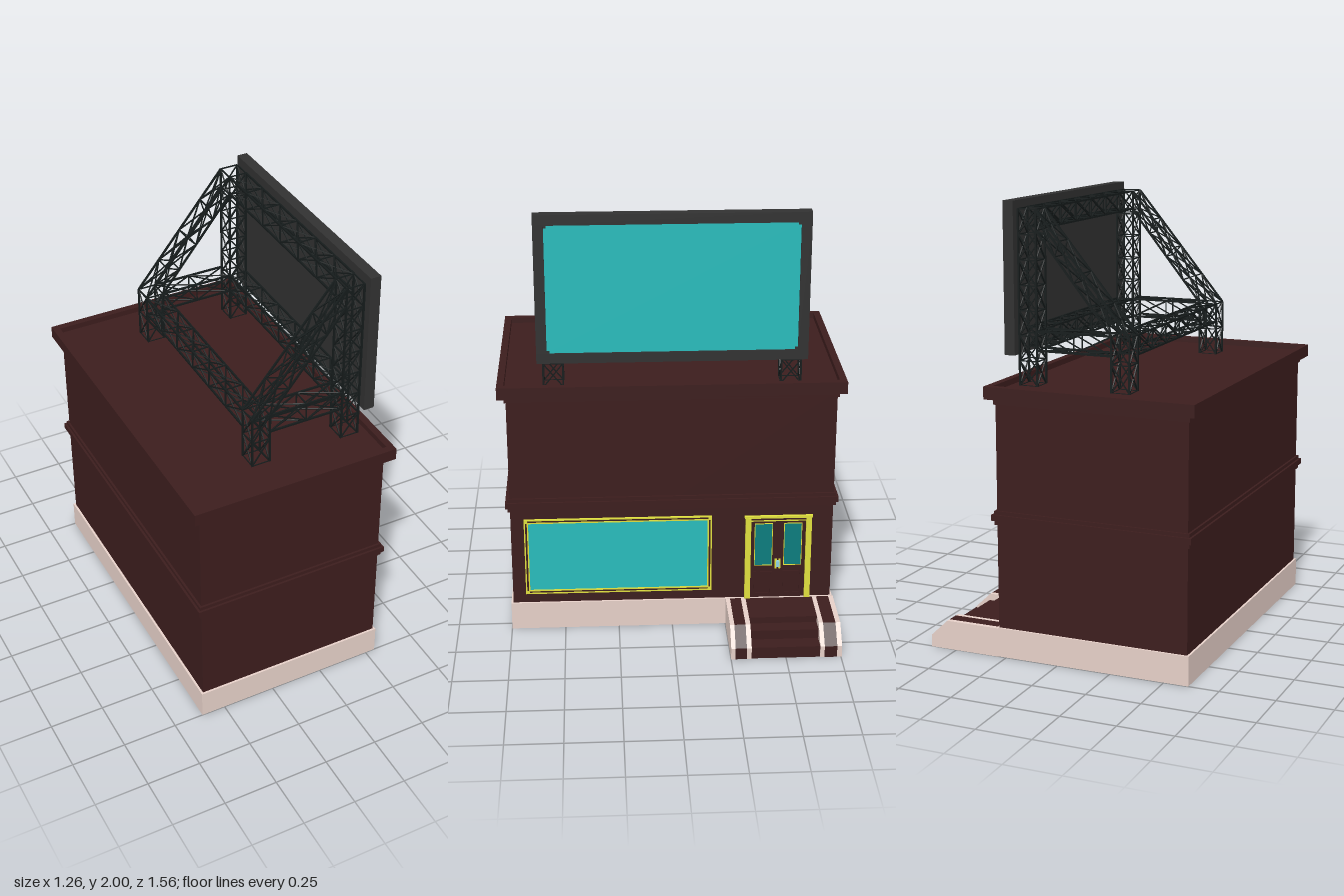
import * as THREE from 'three';
import { mergeGeometries } from 'three/addons/utils/BufferGeometryUtils.js';

const material = (name, color, side = THREE.FrontSide) => {
  const m = new THREE.MeshStandardMaterial({ color, side });
  m.name = name;
  return m;
};

export function createModel() {
  const model = new THREE.Group();
  const brick = material('dark brown', 0x3c1d1d, THREE.DoubleSide);
  const stone = material('pale stone', 0xe6d0c8, THREE.DoubleSide);
  const charcoal = material('charcoal', 0x313131);
  const steel = material('black steel', 0x151b1b);
  const glass = material('teal glass', 0x28bcbc);
  const doorGlass = material('dark teal glass', 0x0b7c7e);
  const brass = material('yellow trim', 0xe0e03e);
  const red = material('deep red', 0x8a0000, THREE.DoubleSide);
  const silver = material('pale blue metal', 0x8fd4e4);

  const add = (name, geo, mat, parent = model) => {
    const mesh = new THREE.Mesh(geo, mat);
    mesh.name = name;
    parent.add(mesh);
    return mesh;
  };
  const group = (name) => {
    const g = new THREE.Group();
    g.name = name;
    model.add(g);
    return g;
  };
  // Box geometry from its limits
  const span = (x0, x1, y0, y1, z0, z1) =>
    new THREE.BoxGeometry(x1 - x0, y1 - y0, z1 - z0)
      .translate((x0 + x1) / 2, (y0 + y1) / 2, (z0 + z1) / 2);
  const box = (name, x0, x1, y0, y1, z0, z1, mat, parent) =>
    add(name, span(x0, x1, y0, y1, z0, z1), mat, parent);

  // Building shell limits
  const X0 = -0.602, X1 = 0.288, Z = 0.74;
  // Horizontal band wrapped around the shell, open in the middle
  const band = (name, out, y0, y1, mat, hole = -0.003) => {
    const rect = (P, e) => new P([
      [X0 - e, -Z - e], [X1 + e, -Z - e], [X1 + e, Z + e], [X0 - e, Z + e],
    ].map((p) => new THREE.Vector2(...p)));
    const shape = rect(THREE.Shape, out);
    shape.holes.push(rect(THREE.Path, hole));
    const geo = new THREE.ExtrudeGeometry(shape, { depth: y1 - y0, bevelEnabled: false });
    geo.rotateX(-Math.PI / 2).translate(0, y0, 0);
    add(name, geo, mat);
  };

  // Walls: a box with its underside left open
  const shell = span(X0, X1, 0.12, 1.17, -Z, Z);
  const faces = Array.from(shell.index.array);
  faces.splice(18, 6);
  shell.setIndex(faces);
  shell.clearGroups();
  add('walls', shell, brick);
  band('plinth', 0.01, 0, 0.133, stone);
  band('beltLower', 0.01, 0.605, 0.625, brick);
  band('beltMiddle', 0.02, 0.625, 0.652, brick);
  band('beltUpper', 0.01, 0.652, 0.668, brick);

  // Cornice with a low rim around the sunken roof
  const roofY = 1.196;
  band('corniceLower', 0.008, 1.14, 1.167, brick);
  band('corniceRim', 0.023, 1.166, 1.222, brick, 0.006);
  band('corniceLip', 0.038, 1.166, 1.222, brick, 0.022);
  box('roof', X0 - 0.008, X1 + 0.008, 1.168, roofY, -Z - 0.008, Z + 0.008, brick);

  // Strip that follows a profile of [x, y] points, between two z values
  const ribbon = (name, pts, z0, z1, mat, parent) => {
    const pos = [];
    for (let i = 0; i < pts.length - 1; i++) {
      const [a, b] = [pts[i], pts[i + 1]];
      pos.push(...a, z0, ...a, z1, ...b, z1, ...a, z0, ...b, z1, ...b, z0);
    }
    const geo = new THREE.BufferGeometry();
    geo.setAttribute('position', new THREE.Float32BufferAttribute(pos, 3));
    geo.computeVertexNormals();
    add(name, geo, mat, parent);
  };

  // Entrance steps with two chamfered cheek walls
  const stairs = group('entranceSteps');
  ribbon('steps', [[0.288, 0.131], [0.48, 0.131], [0.48, 0.1], [0.547, 0.1],
    [0.547, 0.055], [0.62, 0.055], [0.62, 0]], -0.655, -0.343, brick, stairs);
  const cheek = [[0.288, 0.132], [0.543, 0.132], [0.624, 0.055], [0.624, 0]];
  const side = new THREE.Shape([[0.288, 0], ...cheek.slice().reverse()]
    .map((p) => new THREE.Vector2(...p)));
  for (const [a, b] of [[-0.754, -0.655], [-0.343, -0.25]]) {
    for (const z of [a, b]) add('cheekSide', new THREE.ShapeGeometry(side).translate(0, 0, z), stone, stairs);
    ribbon('cheekEdge', cheek, a, a + 0.022, stone, stairs);
    ribbon('cheekInlay', cheek, a + 0.022, b - 0.02, brick, stairs);
    ribbon('cheekEdge', cheek, b - 0.02, b, stone, stairs);
    ribbon('cheekUnderside', [[0.46, 0.004], [0.622, 0.004]], a + 0.022, b - 0.02, red, stairs);
  }

  // Rectangular frame on the right-hand wall
  const frame = (name, z0, z1, y0, y1, w, x0, x1, mat, parent) => add(name, mergeGeometries([
    span(x0, x1, y0, y0 + w, z0, z1),
    span(x0, x1, y1 - w, y1, z0, z1),
    span(x0, x1, y0 + w, y1 - w, z0, z0 + w),
    span(x0, x1, y0 + w, y1 - w, z1 - w, z1),
  ]), mat, parent);

  // Shop window
  const shop = group('shopWindow');
  box('pane', X1, 0.293, 0.2, 0.542, -0.162, 0.66, glass, shop);
  frame('outerTrim', -0.182, 0.68, 0.18, 0.562, 0.006, X1, 0.298, brass, shop);
  frame('middleTrim', -0.176, 0.674, 0.186, 0.556, 0.008, X1, 0.296, brick, shop);
  frame('innerTrim', -0.168, 0.666, 0.194, 0.548, 0.006, X1, 0.298, brass, shop);
  for (const z of [-0.172, 0.67]) for (const y of [0.19, 0.552])
    box('cornerBlock', X1, 0.3, y - 0.007, y + 0.007, z - 0.007, z + 0.007, brass, shop);

  // Double door, mirrored about its centre line
  const door = group('door');
  const dz = -0.49;
  box('leaves', X1, 0.291, 0.132, 0.535, dz - 0.13, dz + 0.13, brick, door);
  box('lintel', X1, 0.302, 0.546, 0.557, dz - 0.157, dz + 0.157, brass, door);
  box('headRail', X1, 0.298, 0.535, 0.546, dz - 0.13, dz + 0.13, brick, door);
  box('headTrim', X1, 0.299, 0.53, 0.536, dz - 0.13, dz + 0.13, brass, door);
  box('handle', 0.291, 0.304, 0.294, 0.324, dz - 0.008, dz + 0.008, silver, door);
  for (const s of [-1, 1]) {
    const at = (a, b) => [Math.min(dz + s * a, dz + s * b), Math.max(dz + s * a, dz + s * b)];
    box('jamb', X1, 0.303, 0.132, 0.55, ...at(0.127, 0.153), brass, door);
    const [p, q] = at(0.028, 0.108);
    box('doorPane', X1, 0.293, 0.302, 0.515, p, q, doorGlass, door);
    frame('paneTrim', p - 0.002, q + 0.002, 0.3, 0.517, 0.003, X1, 0.295, brass, door);
    frame('lowerPanel', p - 0.003, q + 0.003, 0.15, 0.268, 0.008, X1, 0.295, brick, door);
    box('handlePlate', X1, 0.296, 0.284, 0.332, ...at(0.004, 0.014), brass, door);
  }

  // Billboard
  const board = group('billboard');
  box('boardBack', 0.265, 0.3, 1.33, 2, -0.597, 0.597, charcoal, board);
  frame('boardFrame', -0.597, 0.597, 1.33, 2, 0.046, 0.299, 0.314, charcoal, board);
  box('screen', 0.3, 0.307, 1.376, 1.954, -0.551, 0.551, glass, board);
  for (const z of [-0.545, 0.545]) for (const y of [1.382, 1.948])
    box('screenCorner', 0.3, 0.309, y - 0.006, y + 0.006, z - 0.006, z + 0.006, charcoal, board);

  // Straight bar between two points
  const up = new THREE.Vector3(0, 1, 0);
  const bar = (a, b, t) => {
    const d = b.clone().sub(a);
    const q = new THREE.Quaternion().setFromUnitVectors(up, d.clone().normalize());
    const c = a.clone().add(b).multiplyScalar(0.5);
    return new THREE.BoxGeometry(t, d.length(), t).applyQuaternion(q).translate(c.x, c.y, c.z);
  };
  // Lattice girder between two four-cornered ends, cross-braced on every side
  const frameGroup = group('supportFrame');
  const lattice = (name, start, end, bays) => {
    const A = start.map((p) => new THREE.Vector3(...p));
    const B = end.map((p) => new THREE.Vector3(...p));
    const ring = (i) => A.map((p, k) => p.clone().lerp(B[k], i / bays));
    const bars = A.map((p, k) => bar(p, B[k], 0.008));
    for (let i = 0; i <= bays; i++) {
      const r = ring(i), n = ring(i + 1);
      for (let k = 0; k < 4; k++) {
        const j = (k + 1) % 4;
        bars.push(bar(r[k], r[j], 0.005));
        if (i < bays) bars.push(bar(r[k], n[j], 0.005), bar(r[j], n[k], 0.005));
      }
    }
    add(name, mergeGeometries(bars), steel, frameGroup);
  };
  const F0 = 0.168, F1 = 0.252, R0 = -0.267, R1 = -0.183, top = 1.965;
  const flat = (x0, x1, y, z0, z1) => [[x0, y, z0], [x1, y, z0], [x1, y, z1], [x0, y, z1]];
  const acrossX = (x, y0, y1, z0, z1) => [[x, y0, z0], [x, y1, z0], [x, y1, z1], [x, y0, z1]];
  const acrossZ = (z, x0, x1, y0, y1) => [[x0, y0, z], [x1, y0, z], [x1, y1, z], [x0, y1, z]];

  // Columns, cross beams and raking braces at both ends
  for (const [z0, z1] of [[-0.575, -0.487], [0.483, 0.571]]) {
    lattice('frontColumn', flat(F0, F1, roofY, z0, z1), flat(F0, F1, top, z0, z1), 7);
    lattice('rearColumn', flat(R0, R1, roofY, z0, z1), flat(R0, R1, 1.44, z0, z1), 2);
    lattice('crossBeam', acrossX(R1, 1.355, 1.44, z0, z1), acrossX(F0, 1.355, 1.44, z0, z1), 2);
    lattice('rakingBrace',
      [[R1, 1.44, z0], [R0, 1.44, z0], [R0, 1.44, z1], [R1, 1.44, z1]],
      acrossX(F0, 1.875, top, z0, z1), 4);
  }
  // Long beams along the board
  for (const [name, x0, x1, y0, y1] of [
    ['rearBeam', R0, R1, 1.355, 1.44],
    ['lowerFrontBeam', F0, F1, 1.355, 1.44],
    ['upperFrontBeam', F0, F1, 1.88, top],
  ]) lattice(name, acrossZ(-0.487, x0, x1, y0, y1), acrossZ(0.483, x0, x1, y0, y1), 6);

  return model;
}
